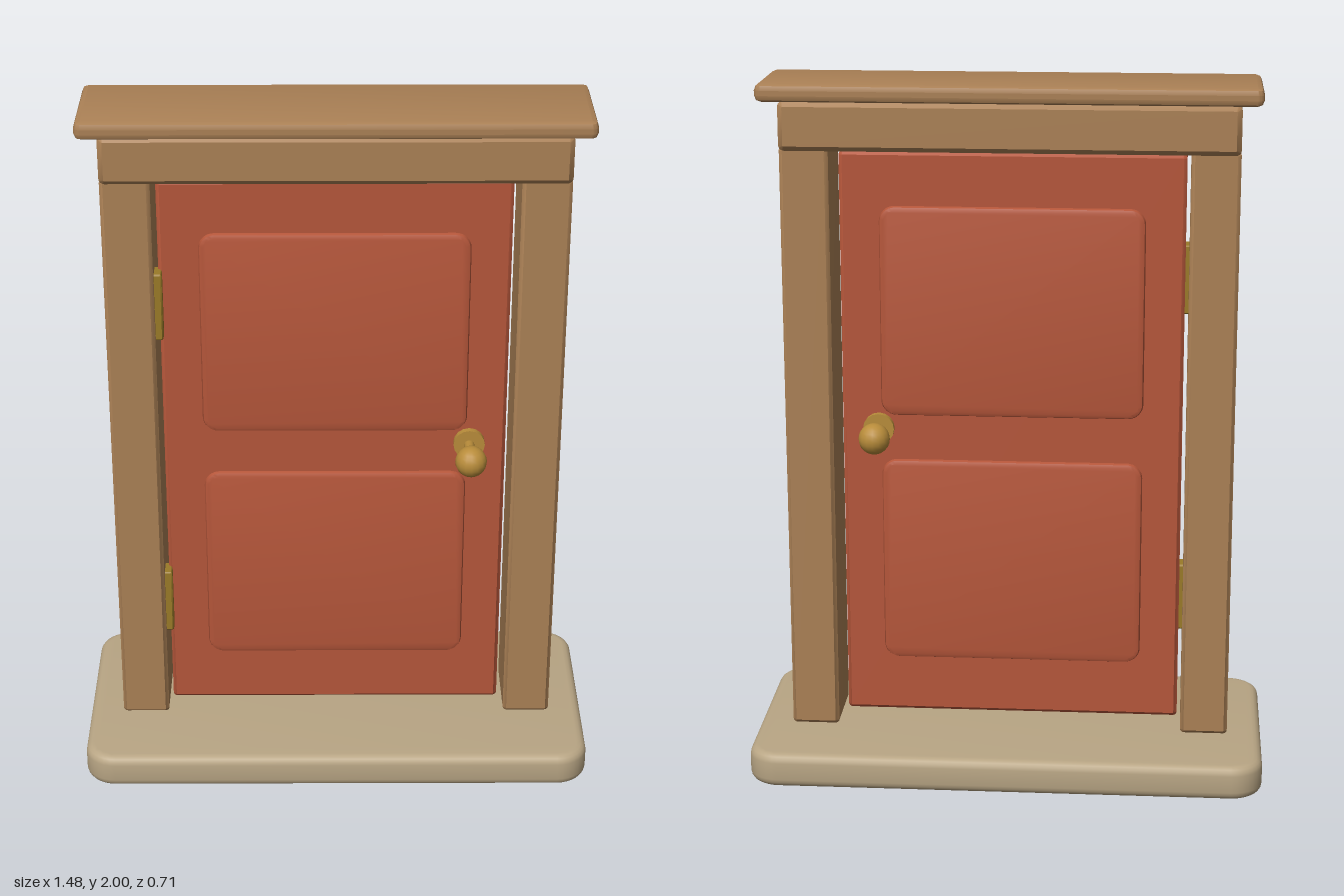
import * as THREE from 'three';
import { toCreasedNormals } from 'three/addons/utils/BufferGeometryUtils.js';

const mat = (name, color) => {
  const m = new THREE.MeshStandardMaterial({ color });
  m.name = name;
  return m;
};

// Rounded rectangle w x h extruded to depth d along z, with bevelled rims, centred
function slab(w, h, d, radius, bevel, bevelSegments = 1) {
  const r = Math.max(radius - bevel, 0.002);
  const x = w / 2 - bevel, y = h / 2 - bevel;
  const s = new THREE.Shape();
  s.moveTo(-x + r, -y);
  s.absarc(x - r, -y + r, r, -Math.PI / 2, 0);
  s.absarc(x - r, y - r, r, 0, Math.PI / 2);
  s.absarc(-x + r, y - r, r, Math.PI / 2, Math.PI);
  s.absarc(-x + r, -y + r, r, Math.PI, Math.PI * 1.5);
  const g = new THREE.ExtrudeGeometry(s, {
    depth: d - 2 * bevel, bevelEnabled: true, bevelSize: bevel,
    bevelThickness: bevel, bevelSegments, curveSegments: 4,
  });
  g.translate(0, 0, -d / 2 + bevel);
  return toCreasedNormals(g, 0.6);
}

export function createModel() {
  const wood = mat('frame wood', 0xaa8055);
  const red = mat('door paint', 0xb5563a);
  const stone = mat('step stone', 0xb8a584);
  const brass = mat('knob brass', 0xb88c3a);
  const darkBrass = mat('hinge brass', 0x9a7a28);

  const model = new THREE.Group();
  model.name = 'doorway';
  const add = (name, geometry, material, x, y, z, parent = model) => {
    const mesh = new THREE.Mesh(geometry, material);
    mesh.name = name;
    mesh.position.set(x, y, z);
    parent.add(mesh);
    return mesh;
  };

  // Step, lying flat
  add('step', slab(1.48, 0.71, 0.1, 0.09, 0.025, 4).rotateX(-Math.PI / 2), stone, 0, 0.05, 0);

  // Frame
  for (const side of [-1, 1]) {
    add(side > 0 ? 'leftPost' : 'rightPost', slab(0.137, 1.72, 0.222, 0.01, 0.01), wood, side * 0.572, 0.96, 0);
  }
  add('lintel', slab(1.28, 0.138, 0.254, 0.014, 0.014), wood, 0, 1.879, 0);
  add('cornice', slab(1.396, 0.322, 0.05, 0.02, 0.018, 2).rotateX(-Math.PI / 2), wood, 0, 1.975, 0);

  // Door leaf with raised panels on both faces
  const thickness = 0.07;
  const door = new THREE.Group();
  door.name = 'door';
  door.position.z = 0.017;
  model.add(door);
  add('leaf', slab(0.98, 1.68, thickness, 0.01, 0.01), red, -0.003, 0.955, 0, door);
  for (const [name, y] of [['upperPanels', 1.335], ['lowerPanels', 0.59]]) {
    add(name, slab(0.755, 0.612, thickness + 0.024, 0.045, 0.012, 2), red, -0.003, y, 0, door);
  }

  // Hinges on the front of the hinge side
  for (const [name, y] of [['upperHinge', 1.43], ['lowerHinge', 0.475]]) {
    add(name, slab(0.026, 0.2, 0.06, 0.004, 0.004), darkBrass, -0.495, y, 0.055);
  }

  // Knob with rosette and stem on each face
  for (const side of [1, -1]) {
    const knob = new THREE.Group();
    knob.name = side > 0 ? 'frontKnob' : 'backKnob';
    knob.position.set(0.382, 0.99, 0);
    knob.rotation.y = side > 0 ? 0 : Math.PI;
    door.add(knob);
    const turned = (r, h) => new THREE.CylinderGeometry(r, r, h, 16).rotateX(Math.PI / 2);
    add('rosette', turned(0.045, 0.024), brass, 0, 0, 0.042, knob);
    add('stem', turned(0.015, 0.1), brass, 0, 0, 0.09, knob);
    add('ball', new THREE.SphereGeometry(0.045, 16, 12), brass, 0, 0, 0.153, knob);
  }

  return model;
}
